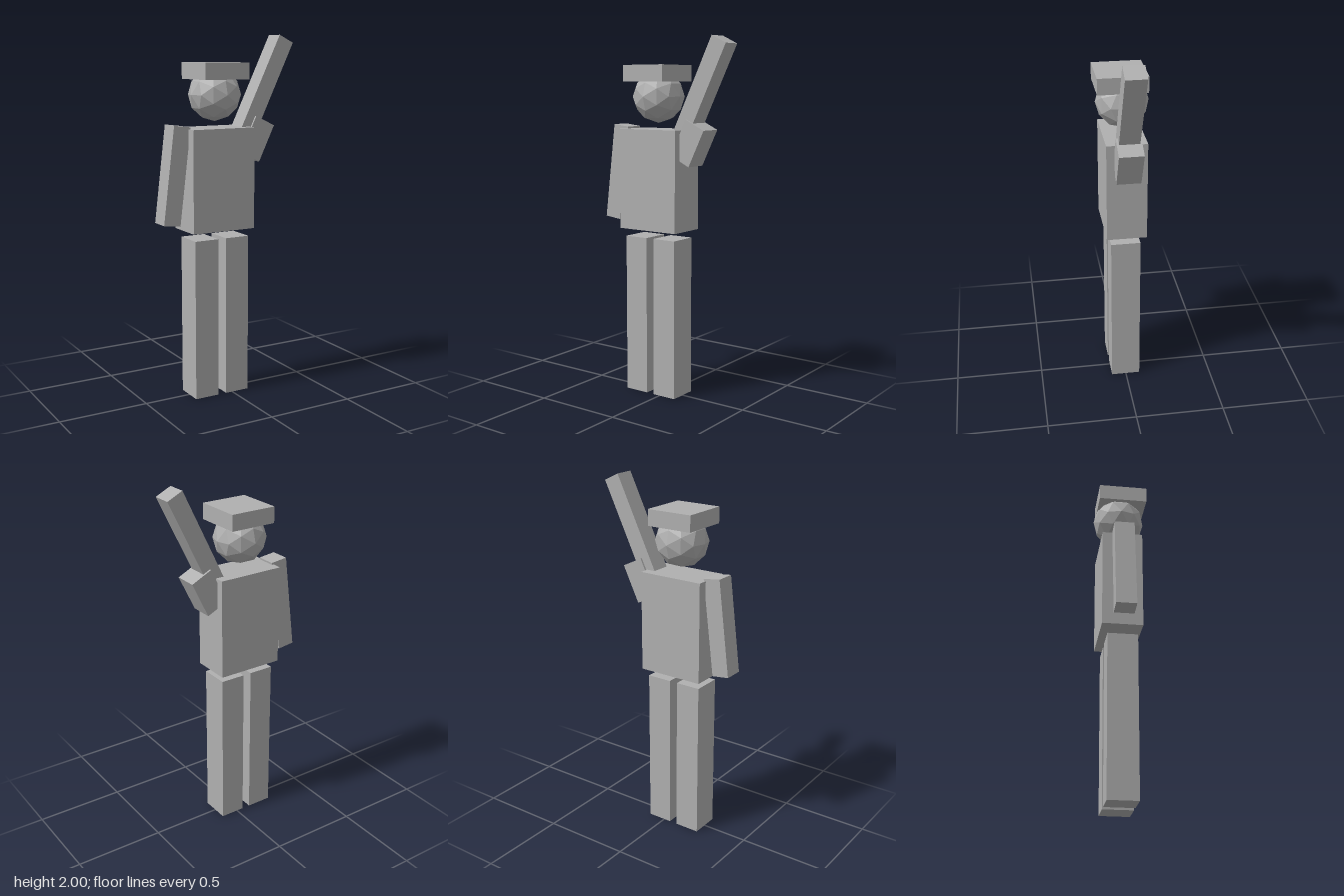
import * as THREE from 'three';

export function createModel() {
  const model = new THREE.Group();
  model.name = 'wavingFigure';

  const grey = new THREE.MeshStandardMaterial({ color: 0xb0b0b0, flatShading: true });
  grey.name = 'plain grey';

  const add = (name, geometry, position, tilt = 0) => {
    const mesh = new THREE.Mesh(geometry, grey);
    mesh.name = name;
    mesh.position.set(...position);
    mesh.rotation.z = THREE.MathUtils.degToRad(tilt);
    model.add(mesh);
  };
  const box = (name, size, position, tilt) =>
    add(name, new THREE.BoxGeometry(...size), position, tilt);

  // body centre line, slightly to the right of the origin
  const cx = -0.065;

  // legs
  for (const [name, side] of [['rightLeg', -1], ['leftLeg', 1]]) {
    box(name, [0.143, 0.898, 0.165], [cx + side * 0.0955, 0.449, 0.001]);
  }

  // torso, head and flat cap
  box('torso', [0.378, 0.559, 0.222], [cx, 1.2235, -0.002]);
  add('head', new THREE.IcosahedronGeometry(0.144, 1), [cx, 1.681, -0.001]);
  box('cap', [0.267, 0.089, 0.27], [cx - 0.001, 1.8075, 0.011]);

  // hanging right arm
  box('rightArm', [0.098, 0.534, 0.111], [-0.322, 1.2545, -0.002], -7);

  // raised left arm, with a short block at the shoulder
  box('leftShoulder', [0.129, 0.22, 0.133], [0.172, 1.434, -0.002], -25.9);
  box('leftArm', [0.097, 0.56, 0.111], [0.239, 1.727, -0.002], -25.9);

  return model;
}
